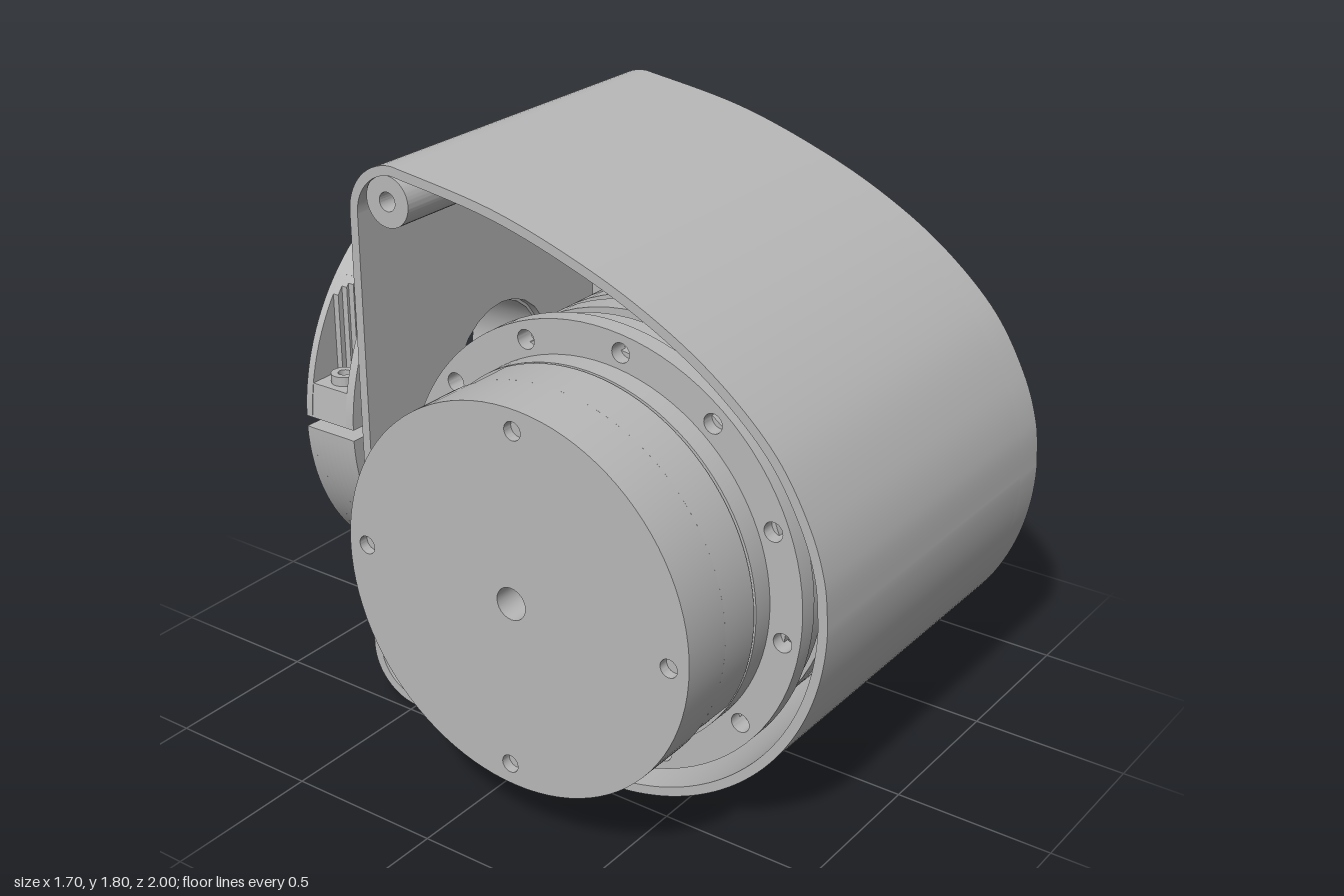
import * as THREE from 'three';
import { toCreasedNormals } from 'three/addons/utils/BufferGeometryUtils.js';

const grey = new THREE.MeshStandardMaterial({ color: 0xb8b8b8, side: THREE.DoubleSide });
grey.name = 'machined grey';

const RAD = Math.PI / 180;
const CU = -0.215, CY = 0.785; // motor axis in side coordinates (u = -z, v = y)
const V = (x, y) => new THREE.Vector2(x, y);
const polar = (r, deg) => V(r * Math.cos(deg * RAD), r * Math.sin(deg * RAD));

function arc(cx, cy, r, a0, a1, n) {
  return Array.from({ length: n + 1 }, (_, i) => polar(r, a0 + ((a1 - a0) * i) / n).add(V(cx, cy)));
}
// ring of round holes: [x, y, radius]
function holeRing(count, r, start, size) {
  return Array.from({ length: count }, (_, i) => {
    const p = polar(r, start + (360 / count) * i);
    return [p.x, p.y, size];
  });
}
function addHoles(shape, holes) {
  for (const [x, y, r] of holes) shape.holes.push(new THREE.Path(arc(x, y, r, 360, 0, 24)));
  return shape;
}
const disc = (r, holes = []) => addHoles(new THREE.Shape(arc(0, 0, r, 0, 360, 96)), holes);

function createMesh(parent, name, geo) {
  const mesh = new THREE.Mesh(geo, grey);
  mesh.name = name;
  parent.add(mesh);
  return mesh;
}
function extrude(shape, from, to) {
  const geo = new THREE.ExtrudeGeometry(shape, { depth: to - from, bevelEnabled: false });
  return toCreasedNormals(geo.translate(0, 0, from), 0.5);
}
// extrusion along x, with the shape drawn as seen from +x
const extrudeX = (shape, x0, x1) => extrude(shape, x0, x1).rotateY(Math.PI / 2);

// side outline of the housing, counter-clockwise from the back top corner
function housingOutline() {
  const crown = new THREE.SplineCurve([
    [0.5, 1.805], [0.13, 1.75], [-0.2, 1.65], [-0.45, 1.54], [-0.65, 1.415],
    [-0.82, 1.26], [-0.93, 1.085], [-0.985, 0.93], [-1, 0.785],
  ].map(([u, v]) => V(u, v))).getPoints(64);
  return [
    ...arc(0.5, 1.635, 0.17, 0, 90, 14).slice(0, -1),
    ...crown,
    ...arc(CU, CY, 0.785, 180, 270, 40).slice(1),
    ...arc(0.5, 0.17, 0.17, 270, 360, 14),
  ];
}
function inset(points, t) {
  return points.map((p, i) => {
    const a = points[Math.max(i - 1, 0)], b = points[Math.min(i + 1, points.length - 1)];
    const d = b.clone().sub(a).normalize();
    return V(p.x - d.y * t, p.y + d.x * t);
  });
}

// round opening with six lobes whose flanks blend into the circle
function lobedOpening() {
  const points = [], d = 0.6, w = 0.088, k = 28;
  for (let a = 359; a >= 0; a--) {
    const off = Math.abs(((a + 11) % 60) - 30) * RAD;
    const s = Math.sin(off);
    const reach = d * s < w ? d * Math.cos(off) + Math.sqrt(w * w - d * d * s * s) : w / s;
    const r = Math.log(Math.exp(k * 0.485) + Math.exp(k * reach)) / k;
    points.push(polar(r, a).add(V(CU, CY)));
  }
  return new THREE.Path(points);
}

function buildHousing() {
  const g = new THREE.Group();
  g.name = 'housing';
  const outline = housingOutline();
  // curved wall, open at the motor end
  createMesh(g, 'curvedWall', extrudeX(new THREE.Shape([...outline, ...inset(outline, 0.03).reverse()]), -0.47, 0.67));

  // back wall with the bore of the clamp
  const back = new THREE.Shape([V(-0.47, 0.17), V(0.67, 0.17), V(0.67, 1.635), V(-0.47, 1.635)]);
  createMesh(g, 'backWall', extrude(addHoles(back, [[0.18, 0.91, 0.24]]), -0.67, -0.64));

  // side plate with the lobed opening and two screw holes
  const plate = new THREE.Shape(outline);
  plate.holes.push(lobedOpening());
  const screws = [168, 228].map((a) => polar(0.565, a).add(V(CU, CY)));
  addHoles(plate, screws.map((p) => [p.x, p.y, 0.07]));
  createMesh(g, 'sidePlate', extrudeX(plate, 0.67, 0.785));
  for (const p of screws) {
    createMesh(g, 'plateScrew', extrudeX(disc(0.058, [[0, 0, 0.03]]), 0.65, 0.74)).position.set(0, p.y, -p.x);
  }
  // screw bosses in the back corners
  for (const y of [0.115, 1.69]) {
    createMesh(g, 'cornerBoss', extrudeX(disc(0.08, [[0, 0, 0.03]]), -0.46, 0.67)).position.set(0, y, -0.53);
  }
  return g;
}

function buildMotor() {
  const g = new THREE.Group();
  g.name = 'motor';
  g.position.set(0, CY, -CU);
  const bore = [0, 0, 0.05];

  // ribbed body inside the housing
  const profile = [V(0.05, -0.42)];
  for (let i = 0; i < 8; i++) {
    const x = -0.42 + i * 0.13;
    profile.push(V(0.63, x), V(0.63, x + 0.05), V(0.665, x + 0.05), V(0.665, x + 0.13));
  }
  profile.push(V(0.05, 0.62), V(0.05, -0.42));
  createMesh(g, 'ribbedBody', toCreasedNormals(new THREE.LatheGeometry(profile, 72), 0.5).rotateZ(-Math.PI / 2));

  createMesh(g, 'boltFlange', extrudeX(disc(0.7, [bore, ...holeRing(12, 0.645, 8, 0.03)]), -0.46, -0.4));
  createMesh(g, 'recessFloor', extrudeX(disc(0.69, [bore, ...holeRing(6, 0.6, 19, 0.05)]), 0.61, 0.66));

  // drum, with two connector pockets in its inner half
  createMesh(g, 'drumCollar', extrudeX(disc(0.595, [bore]), -0.53, -0.44));
  createMesh(g, 'drumGroove', extrudeX(disc(0.585, [bore]), -0.545, -0.525));
  createMesh(g, 'drumCap', extrudeX(disc(0.595, [bore, ...holeRing(4, 0.53, 2, 0.028)]), -0.85, -0.68));
  createMesh(g, 'drumCapFloor', extrudeX(disc(0.56, [bore]), -0.82, -0.7));
  const half = Math.asin(0.165 / 0.595) / RAD;
  const pockets = [49, 226]; // upper back, lower front
  const rim = [];
  pockets.forEach((a, i) => {
    // floor corners of the pocket, then the rim up to the next one
    const next = i ? pockets[0] + 360 : pockets[1];
    rim.push(polar(0.5, a - 19), polar(0.5, a + 19), ...arc(0, 0, 0.595, a + half, next - half, 48));
  });
  createMesh(g, 'drumPocketRing', extrudeX(addHoles(new THREE.Shape(rim), [bore]), -0.68, -0.54));
  for (const a of pockets) {
    const plug = new THREE.Group();
    plug.name = 'connector';
    plug.rotation.x = (a - 90) * RAD; // local +y points out of the drum
    // plug body, side rails, middle pin: x, z, width, height, depth
    for (const [x, z, w, h, d] of [
      [-0.61, -0.115, 0.11, 0.09, 0.07], [-0.665, 0.02, 0.02, 0.09, 0.2],
      [-0.555, 0.02, 0.02, 0.09, 0.2], [-0.61, 0.02, 0.03, 0.08, 0.12],
    ]) {
      createMesh(plug, 'connectorBlock', new THREE.BoxGeometry(w, h, d)).position.set(x, 0.47 + h / 2, z);
    }
    g.add(plug);
  }

  // output side
  createMesh(g, 'outputRing', extrudeX(disc(0.47, [[0, 0, 0.42]]), 0.65, 0.725));
  const holes = [...holeRing(3, 0.32, 19, 0.052), ...holeRing(6, 0.32, 49, 0.03)];
  createMesh(g, 'outputDisc', extrudeX(disc(0.43, [[0, 0, 0.2], ...holes]), 0.65, 0.745));
  const sockets = holeRing(6, 0.145, 20, 0.04);
  createMesh(g, 'hub', extrudeX(disc(0.194, [bore, ...sockets]), 0.65, 0.74));
  for (const [u, v] of sockets) {
    createMesh(g, 'hubScrew', extrudeX(disc(0.034, [[0, 0, 0.015]]), 0.66, 0.735)).position.set(0, v, -u);
  }
  return g;
}

// upper half of the split clamp ring; pocket is where the bolt pocket ends, key widens the slit at the hub
function clampHalf({ pocket = 0, key = false }) {
  const R = 0.67, r = 0.39, gap = 0.018;
  const a = Math.asin(gap / R) / RAD, b = Math.asin((key ? 0.07 : gap) / r) / RAD;
  const pts = [];
  if (pocket) {
    pts.push(...arc(0, 0, R, a, 180 - Math.acos(pocket / R) / RAD, 48), V(-pocket, 0.13), V(-0.657, 0.13), polar(R, 180 - a));
  } else pts.push(...arc(0, 0, R, a, 180 - a, 60));
  if (key) pts.push(V(-0.5, gap), V(-0.5, 0.07));
  pts.push(...arc(0, 0, r, 180 - b, b, 48));
  if (key) pts.push(V(0.5, 0.07), V(0.5, gap));
  return new THREE.Shape(pts);
}

function buildClamp() {
  const g = new THREE.Group();
  g.name = 'clamp';
  g.position.set(0.18, 0.91, 0);
  for (const turn of [0, Math.PI]) {
    const part = new THREE.Group();
    part.name = turn ? 'lowerClampHalf' : 'upperClampHalf';
    part.rotation.z = turn;
    createMesh(part, 'innerCheek', extrude(clampHalf({}), -0.72, -0.69));
    // slices that give the bolt pocket its round end
    for (let i = 0; i < 7; i++) {
      const dz = (i - 3) * 0.02;
      const pocket = 0.59 - Math.sqrt(0.075 ** 2 - dz * dz);
      createMesh(part, 'boltLayer', extrude(clampHalf({ pocket }), -0.8 + dz, -0.78 + dz));
    }
    createMesh(part, 'outerCheek', extrude(clampHalf({ key: true }), -0.885, -0.86));
    const bolt = extrude(disc(0.042, [[0, 0, 0.02]]), 0, 0.035).rotateX(-Math.PI / 2);
    createMesh(part, 'clampBolt', bolt).position.set(-0.59, 0.125, -0.79);
    g.add(part);
  }
  // hub with bolt circle
  const holes = [...holeRing(10, 0.31, 18, 0.04), ...holeRing(5, 0.3, 36, 0.014)];
  createMesh(g, 'clampHub', extrude(disc(0.39, [[0, 0, 0.23], ...holes]), -0.96, -0.67));
  // stop tab
  createMesh(g, 'tabFoot', new THREE.BoxGeometry(0.13, 0.13, 0.06)).position.set(0.425, 0, -0.885);
  createMesh(g, 'tabPost', new THREE.BoxGeometry(0.06, 0.13, 0.14)).position.set(0.46, 0, -0.93);
  return g;
}

export function createModel() {
  const model = new THREE.Group();
  model.name = 'rotaryActuator';
  model.add(buildHousing(), buildMotor(), buildClamp());
  return model;
}
